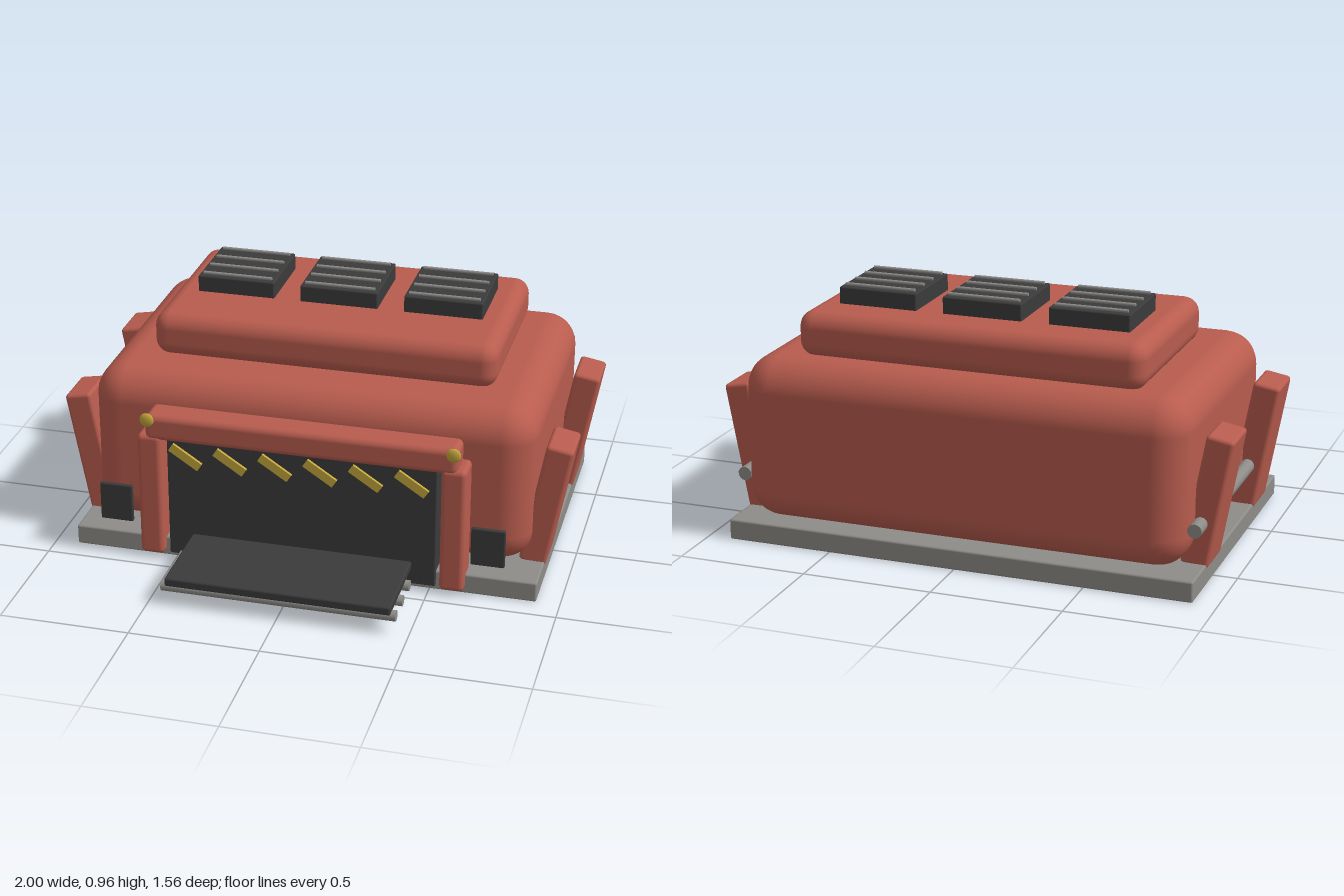
import * as THREE from 'three';
import { RoundedBoxGeometry } from 'three/addons/geometries/RoundedBoxGeometry.js';

const material = (name, color) => {
  const m = new THREE.MeshStandardMaterial({ color });
  m.name = name;
  return m;
};

export function createModel() {
  const model = new THREE.Group();
  model.name = 'depot';
  const red = material('brick red', 0xb85c4e);
  const dark = material('charcoal', 0x3b3b3b);
  const grey = material('steel grey', 0x8e8c88);
  const yellow = material('warning yellow', 0xc4a63c);

  const add = (name, geometry, mat, x = 0, y = 0, z = 0) => {
    const mesh = new THREE.Mesh(geometry, mat);
    mesh.name = name;
    mesh.position.set(x, y, z);
    model.add(mesh);
    return mesh;
  };
  // Rounded block given by its size and centre
  const block = (name, mat, [w, h, d], [x, y, z], radius, segments = 2) =>
    add(name, new RoundedBoxGeometry(w, h, d, segments, radius), mat, x, y, z);
  // Rod lying along x or z
  const rod = (name, axis, radius, length, [x, y, z], sides = 14) => {
    const g = new THREE.CylinderGeometry(radius, radius, length, sides);
    if (axis === 'x') g.rotateZ(Math.PI / 2);
    else g.rotateX(Math.PI / 2);
    return add(name, g, grey, x, y, z);
  };

  // Base slab, main hall and raised roof
  block('baseSlab', grey, [1.82, 0.08, 1.19], [0, 0.04, -0.185], 0.008);
  block('mainHall', red, [1.73, 0.635, 1.095], [0, 0.3975, -0.2175], 0.125, 4);
  block('raisedRoof', red, [1.35, 0.175, 0.76], [0, 0.7925, -0.265], 0.06, 4);

  // Roof vents with thin slats
  for (const x of [-0.415, 0, 0.415]) {
    block('roofVent', dark, [0.31, 0.075, 0.32], [x, 0.9075, -0.315], 0.006);
    for (let i = 0; i < 4; i++) {
      rod('ventSlat', 'x', 0.007, 0.28, [x, 0.95, -0.182 - i * 0.088], 8);
    }
  }

  // Doorway: door, lintel, loading ramp and rollers
  block('door', dark, [1.05, 0.5, 0.12], [0, 0.27, 0.365], 0.006);
  block('lintel', red, [1.21, 0.105, 0.125], [0, 0.5625, 0.3875], 0.025, 3);
  block('ramp', dark, [0.865, 0.035, 0.36], [0, 0.098, 0.597], 0.008);
  for (const z of [0.525, 0.638, 0.75]) rod('rampRoller', 'x', 0.021, 0.9, [0, 0.07, z]);

  // Slanted warning stripes over the door
  for (let i = 0; i < 6; i++) {
    const stripe = add('warningStripe', new THREE.BoxGeometry(0.135, 0.035, 0.012), yellow,
      -0.4375 + i * 0.175, 0.468, 0.467);
    stripe.rotation.z = -0.58;
  }

  // Mirrored parts
  for (const s of [-1, 1]) {
    block('doorPillar', red, [0.095, 0.51, 0.125], [s * 0.59, 0.275, 0.3875], 0.02, 3);
    block('frontPanel', dark, [0.13, 0.155, 0.018], [s * 0.727, 0.228, 0.443], 0.006);
    const lamp = add('lamp', new THREE.SphereGeometry(0.028, 16, 10), yellow, s * 0.59, 0.6, 0.457);
    lamp.scale.z = 0.4;
    rod('sideRail', 'z', 0.027, 0.9, [s * 0.885, 0.235, -0.237]);
    // Leaning buttresses
    for (const z of [0.147, -0.513]) {
      block('buttress', red, [0.105, 0.5, 0.19], [s * 0.905, 0.316, z], 0.014)
        .rotation.z = -s * 0.18;
    }
  }
  return model;
}
